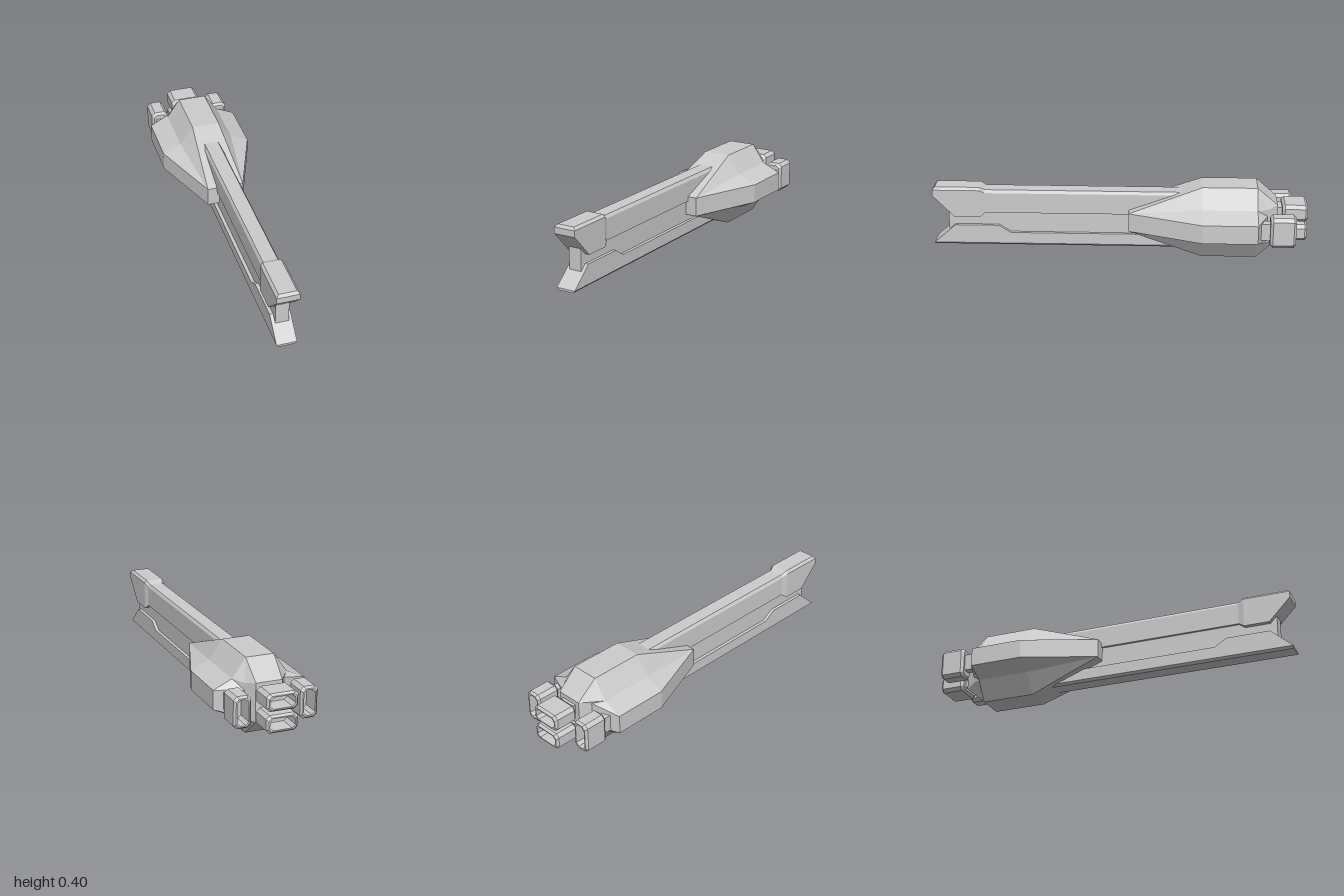
import * as THREE from 'three';

const material = new THREE.MeshStandardMaterial({ color: 0xcccccc, flatShading: true });

// Skins stations running from back to front. Each station lists [x, y, z] points
// of the +x half from bottom to top; the other half is mirrored.
function loft(stations) {
  const n = stations[0].length;
  const rings = stations.map(half => [
    ...half,
    ...half.slice().reverse().map(([x, y, z]) => [-x, y, z]),
  ]);
  const pos = [];
  const quad = (a, b, c, d) => pos.push(...a, ...b, ...c, ...a, ...c, ...d);
  for (let s = 0; s < rings.length - 1; s++) {
    const r = rings[s], q = rings[s + 1];
    for (let i = 0; i < 2 * n; i++) {
      const j = (i + 1) % (2 * n);
      quad(r[i], r[j], q[j], q[i]);
    }
  }
  // End caps made of strips across x
  const first = rings[0], last = rings[rings.length - 1];
  for (let i = 0; i < n - 1; i++) {
    const k = 2 * n - 1 - i;
    quad(first[i], first[k], first[k - 1], first[i + 1]);
    quad(last[k], last[i], last[i + 1], last[k - 1]);
  }
  const geo = new THREE.BufferGeometry();
  geo.setAttribute('position', new THREE.Float32BufferAttribute(pos, 3));
  geo.computeVertexNormals();
  return geo;
}

// Same cross-section placed at a given z
const at = (z, points) => points.map(([x, y]) => [x, y, z]);

// Half of a chamfered rectangle centred on the origin
const octagon = (z, w, h, c) => at(z, [[w - c, -h], [w, -h + c], [w, h - c], [w - c, h]]);

export function createModel() {
  const model = new THREE.Group();
  const add = (name, geo, parent = model) => {
    const mesh = new THREE.Mesh(geo, material);
    mesh.name = name;
    parent.add(mesh);
    return mesh;
  };
  const addBox = (name, size, position, parent) =>
    add(name, new THREE.BoxGeometry(...size), parent).position.set(...position);

  // Faceted hull, narrowing to a blunt rectangular nose
  const wide = [[0.075, 0], [0.146, 0.103], [0.245, 0.148], [0.245, 0.25], [0.146, 0.295], [0.075, 0.396]];
  const nose = [[0.098, 0.148], [0.098, 0.148], [0.098, 0.148], [0.098, 0.25], [0.098, 0.25], [0.098, 0.25]];
  add('hull', loft([
    [[0.07, 0.097, -0.84], [0.105, 0.11, -0.785], [0.105, 0.148, -0.785],
      [0.105, 0.25, -0.785], [0.105, 0.287, -0.785], [0.07, 0.3, -0.84]],
    at(-0.73, wide),
    at(-0.44, wide),
    at(-0.05, nose),
  ]));

  // Tapered block closing the back of the hull
  add('tailBlock', loft([
    at(-0.84, [[0.07, 0.097], [0.07, 0.3]]),
    at(-0.785, [[0.105, 0.11], [0.105, 0.287]]),
    at(-0.7, [[0.105, 0.11], [0.105, 0.287]]),
  ]));

  // Long central spine between the two rails
  addBox('spine', [0.07, 0.16, 1.37], [0, 0.175, 0.235]);

  // Upper rail with a thicker, undercut tip
  const upper = [[0.048, 0.225], [0.048, 0.28], [0.048, 0.337], [0.038, 0.353]];
  add('upperRail', loft([
    at(-0.45, upper),
    at(0.72, upper),
    at(0.75, [[0.06, 0.202], [0.06, 0.32], [0.06, 0.355], [0.047, 0.369]]),
    [[0.06, 0.202, 0.885], [0.06, 0.322, 1], [0.06, 0.355, 1], [0.047, 0.369, 0.987]],
  ]));

  // Lower rail with a raised front and a wedge tip
  const lower = top => [[0.041, 0.038], [0.053, 0.05], [0.053, top]];
  add('lowerRail', loft([
    at(-0.45, lower(0.112)),
    at(0.585, lower(0.112)),
    at(0.65, lower(0.153)),
    [[0.041, 0.038, 1], [0.053, 0.05, 1], [0.053, 0.153, 0.885]],
  ]));

  // Hollow chamfered engine nozzle, opening to the back
  const engineGeo = loft([
    octagon(-0.04, 0.03, 0.066, 0.016),
    octagon(-0.135, 0.03, 0.066, 0.016),
    octagon(-0.135, 0.036, 0.073, 0.016),
    octagon(-0.123, 0.046, 0.083, 0.018),
    octagon(-0.014, 0.046, 0.083, 0.018),
    octagon(0, 0.034, 0.071, 0.014),
  ]);
  const addEngine = (name, x, y, z, flat) => {
    const engine = new THREE.Group();
    engine.name = name;
    engine.position.set(x, y, z);
    if (flat) engine.rotation.z = Math.PI / 2;
    add('nozzle', engineGeo, engine);
    addBox('neck', [0.046, 0.09, 0.08], [0, 0, 0.035], engine);
    model.add(engine);
  };
  addEngine('upperEngine', 0, 0.253, -0.865, true);
  addEngine('lowerEngine', 0, 0.143, -0.865, true);
  addEngine('leftEngine', 0.175, 0.197, -0.795, false);
  addEngine('rightEngine', -0.175, 0.197, -0.795, false);

  return model;
}
